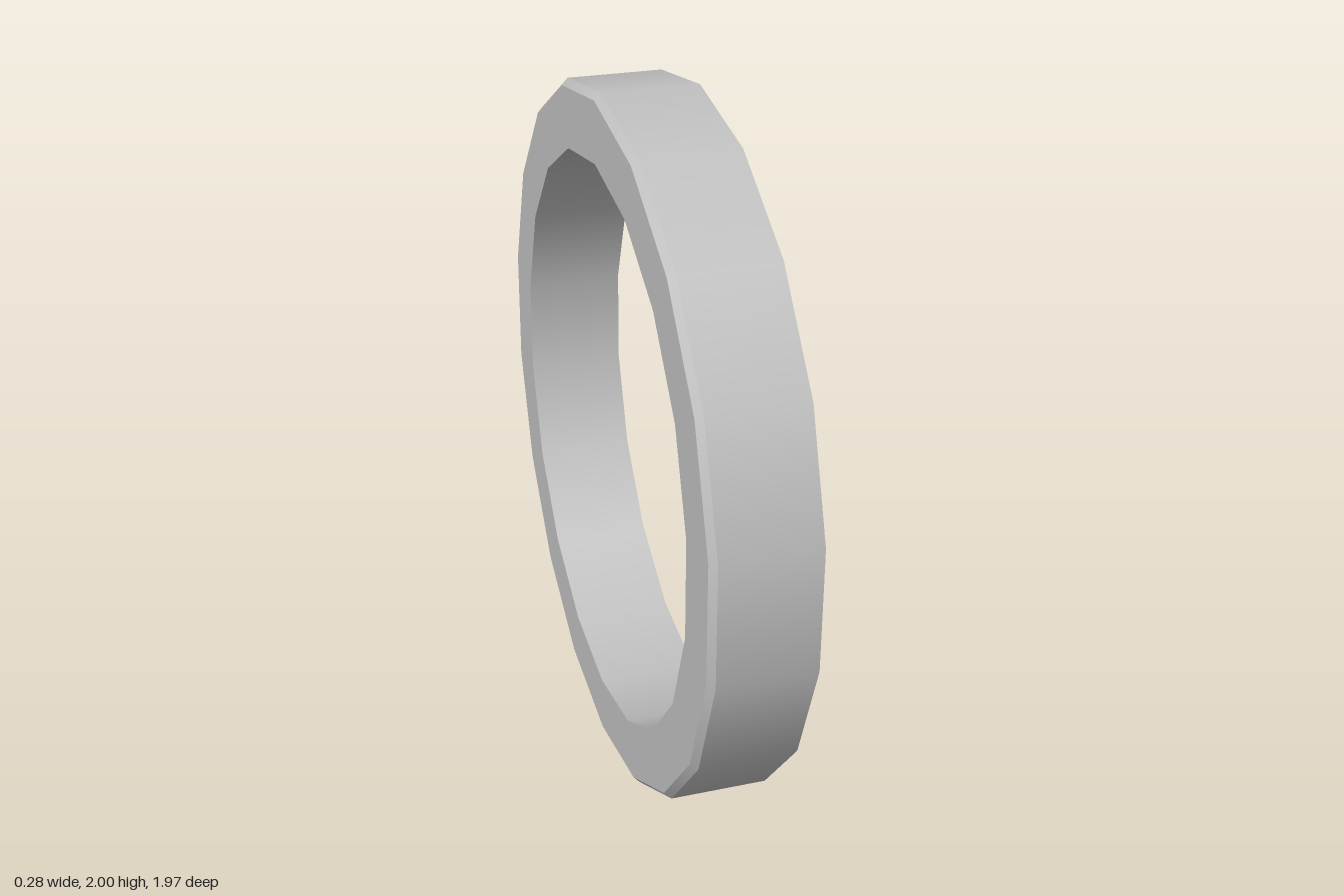
import * as THREE from 'three';

export function createModel() {
  const model = new THREE.Group();
  model.name = 'ring';
  const grey = new THREE.MeshStandardMaterial({ color: 0xc0c0c0, side: THREE.DoubleSide });
  grey.name = 'light grey';

  const SIDES = 18;
  const HALF = 0.142;    // half the width along x
  const OUTER = 1;       // corner radius of the outer wall
  const INNER = 0.812;   // corner radius of the hole
  const BEVEL = 0.018;

  // One band of the thin shell, spun about x; points are [x, radius].
  // Bands stay separate so the edges between them are sharp.
  function band(name, from, to) {
    const profile = [from, to].map(([x, r]) => new THREE.Vector2(r, -x));
    const geometry = new THREE.LatheGeometry(profile, SIDES, Math.PI / 2);
    geometry.rotateZ(Math.PI / 2);
    geometry.translate(0, 1, 0);
    const mesh = new THREE.Mesh(geometry, grey);
    mesh.name = name;
    model.add(mesh);
  }

  // Channel section, open towards +x
  const rim = [HALF, OUTER];
  const bevelStart = [-HALF + BEVEL, OUTER];
  const bevelEnd = [-HALF, OUTER - BEVEL];
  const holeEdge = [-HALF, INNER];
  const holeRim = [HALF, INNER];
  band('outerWall', rim, bevelStart);
  band('bevel', bevelStart, bevelEnd);
  band('sidePlate', bevelEnd, holeEdge);
  band('innerWall', holeEdge, holeRim);

  return model;
}
